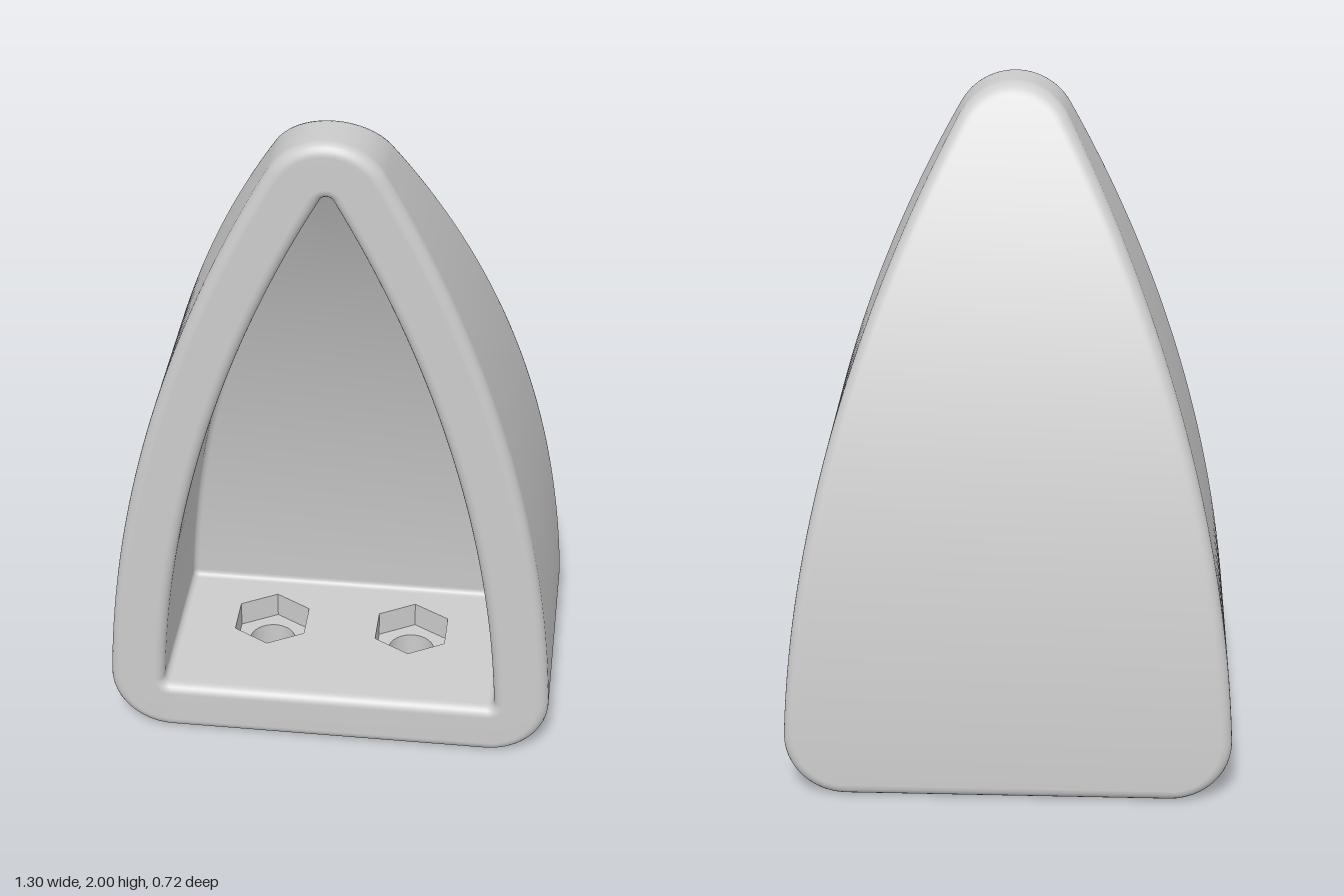
import * as THREE from 'three';

const FRONT = 0.36, R = 3.9, CX = -3.245; // front plane, radius and centre of the side curve
const CORNER = 0.18, WALL = 0.16, EDGE = 0.035, INNER_EDGE = 0.03, COVE = 0.018;
const STEPS = 6;
const HOLE_X = 0.215, HEX_R = 0.122, BOLT_R = 0.07, LEDGE_Y = 0.08;

// Depth of the curved back, and of the cavity's back wall, at a height
const backZ = (y) => -0.36 + R - Math.sqrt(R * R - y * y);
const cavityZ = (y) => -0.36 + R - Math.sqrt((R - WALL) ** 2 - y * y);

const sideStart = Math.asin(CORNER / (R - CORNER));
const sideEnd = Math.acos(-CX / (R - CORNER));
const cornerX = CX + (R - CORNER) * Math.cos(sideStart);
const tipY = (R - CORNER) * Math.sin(sideEnd);

// Arched outline inset by d, counter-clockwise from the right end of the flat base
function outline(d) {
  const right = [];
  const arc = (cx, cy, r, a, b, n, first) => {
    for (let i = first; i <= n; i++) {
      const t = a + (b - a) * i / n;
      right.push([cx + (r - d) * Math.cos(t), cy + (r - d) * Math.sin(t)]);
    }
  };
  arc(cornerX, CORNER, CORNER, -Math.PI / 2, sideStart, 12, 0);
  arc(CX, 0, R, sideStart, sideEnd, 48, 1);
  arc(0, tipY, CORNER, sideEnd, Math.PI / 2, 12, 1);
  const left = right.slice(0, -1).reverse().map(([x, y]) => [-x, y]);
  return [...right, ...left];
}

function shellGeometry() {
  const rings = [];
  const fillet = (rule) => {
    for (let i = 0; i <= STEPS; i++) {
      const t = (i / STEPS) * Math.PI / 2;
      const [d, z] = rule(Math.sin(t), Math.cos(t));
      rings.push(outline(d).map(([x, y]) => [x, y, z(y)]));
    }
  };
  // back edge, front outer edge, front inner edge, cove at the cavity back
  fillet((s, c) => [EDGE * (1 - s), (y) => backZ(y) + EDGE * (1 - c)]);
  fillet((s, c) => [EDGE * (1 - c), () => FRONT - EDGE * (1 - s)]);
  fillet((s, c) => [WALL - INNER_EDGE * (1 - s), () => FRONT - INNER_EDGE * (1 - c)]);
  fillet((s, c) => [WALL + COVE * (1 - c), (y) => cavityZ(y) + COVE * (1 - s)]);

  const n = rings[0].length, index = [];
  const quad = (a, b, c, d) => index.push(a, b, c, a, c, d);
  for (let k = 0; k < rings.length - 1; k++) {
    // the flat base of the two long walls is left open for the drilled plates
    const open = k === STEPS || k === 3 * STEPS + 2;
    for (let j = 0; j < (open ? n - 1 : n); j++) {
      const j2 = (j + 1) % n;
      quad(k * n + j, k * n + j2, (k + 1) * n + j2, (k + 1) * n + j);
    }
  }
  // back face and cavity back, as strips from side to side
  const last = (rings.length - 1) * n;
  for (let j = 0; j < (n - 1) / 2; j++) {
    quad(n - 1 - j, n - 2 - j, j + 1, j);
    quad(last + j, last + j + 1, last + n - 2 - j, last + n - 1 - j);
  }
  const g = new THREE.BufferGeometry();
  g.setAttribute('position', new THREE.Float32BufferAttribute(rings.flat(2), 3));
  g.setIndex(index);
  g.computeVertexNormals();
  return g;
}

// Regular polygon with a point along z
function polygon(cx, r, sides) {
  return Array.from({ length: sides }, (_, i) => {
    const a = (i / sides) * Math.PI * 2;
    return new THREE.Vector2(cx + r * Math.sin(a), r * Math.cos(a));
  });
}

// Horizontal sheet from an x-z outline with holes, facing up or down
function sheet(points, holes, y, up) {
  const flip = (list) => list.map((p) => new THREE.Vector2(p.x, up ? -p.y : p.y));
  const shape = new THREE.Shape(flip(points));
  shape.holes = holes.map((h) => new THREE.Path(flip(h)));
  const g = new THREE.ShapeGeometry(shape);
  g.rotateX(up ? -Math.PI / 2 : Math.PI / 2);
  return g.translate(0, y, 0);
}

const rectangle = (z0, z1) => [[-1, z0], [1, z0], [1, z1], [-1, z1]]
  .map(([s, z]) => new THREE.Vector2(s * cornerX, z));

export function createModel() {
  const group = new THREE.Group();
  const smooth = new THREE.MeshStandardMaterial({ color: 0xcccccc });
  const bore = new THREE.MeshStandardMaterial({ color: 0xcccccc, side: THREE.DoubleSide });
  const facet = new THREE.MeshStandardMaterial({ color: 0xcccccc, side: THREE.DoubleSide, flatShading: true });
  const add = (name, geometry, material) => {
    const mesh = new THREE.Mesh(geometry, material);
    mesh.name = name;
    group.add(mesh);
    return mesh;
  };

  add('archedShell', shellGeometry(), smooth);

  // Underside and cavity floor, drilled for two bolts and their nuts
  const xs = [-HOLE_X, HOLE_X];
  add('underside', sheet(rectangle(backZ(0) + EDGE, FRONT - EDGE),
    xs.map((x) => polygon(x, BOLT_R, 32)), 0, false), smooth);
  add('cavityFloor', sheet(rectangle(cavityZ(WALL) + COVE, FRONT - INNER_EDGE),
    xs.map((x) => polygon(x, HEX_R, 6)), WALL, true), smooth);

  xs.forEach((x, i) => {
    const side = i ? 'left' : 'right';
    const depth = WALL - LEDGE_Y;
    add(side + 'NutPocket', new THREE.CylinderGeometry(HEX_R, HEX_R, depth, 6, 1, true), facet)
      .position.set(x, LEDGE_Y + depth / 2, 0);
    add(side + 'NutLedge', sheet(polygon(x, HEX_R, 6), [polygon(x, BOLT_R, 32)], LEDGE_Y, true), smooth);
    add(side + 'BoltHole', new THREE.CylinderGeometry(BOLT_R, BOLT_R, LEDGE_Y, 32, 1, true), bore)
      .position.set(x, LEDGE_Y / 2, 0);
  });
  return group;
}
